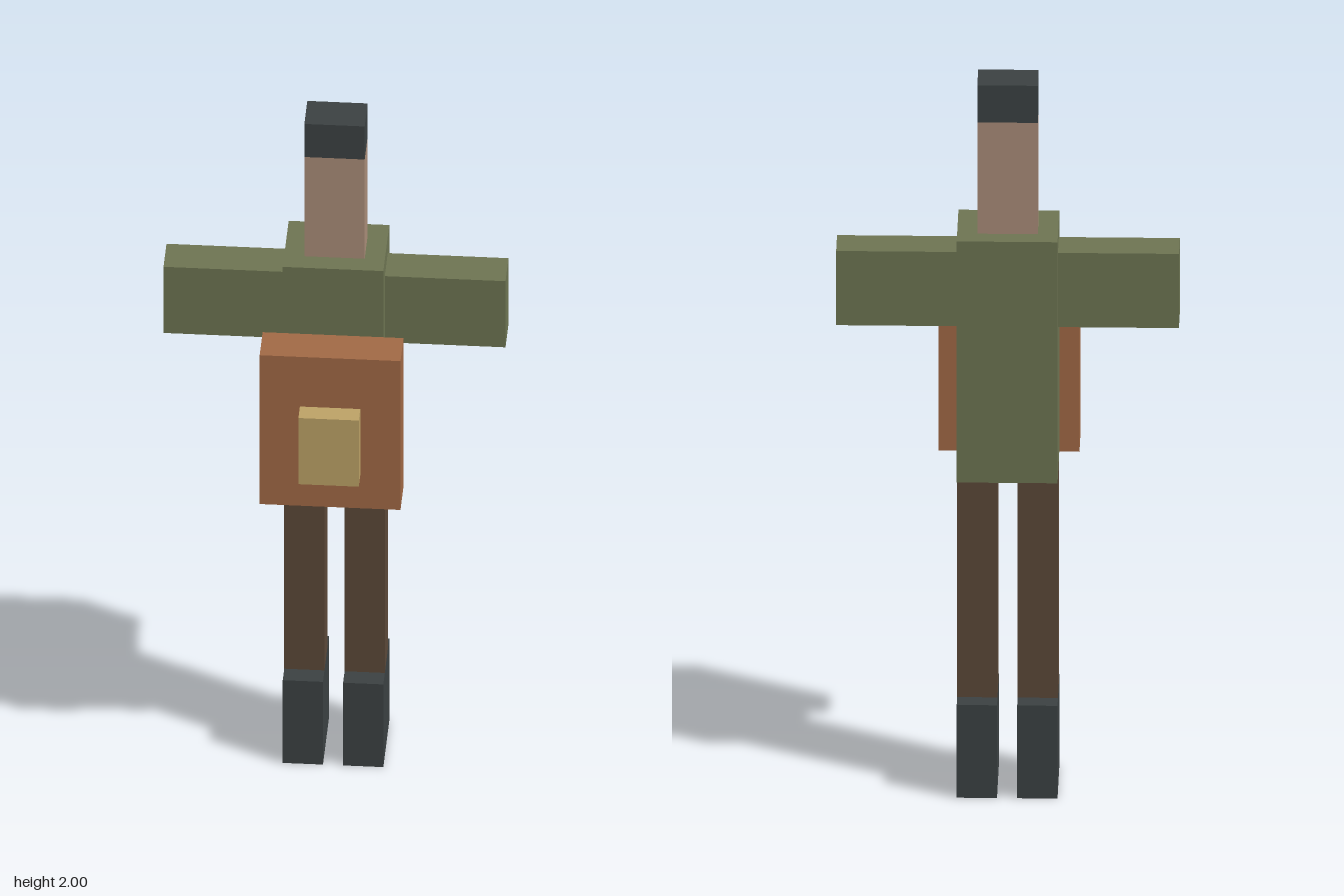
import * as THREE from 'three';

const U = 2 / 38; // one block unit; the figure is 38 units tall

function material(name, color) {
  const m = new THREE.MeshStandardMaterial({ color });
  m.name = name;
  return m;
}

export function createModel() {
  const olive = material('olive cloth', 0x6d7452);
  const rust = material('rust leather', 0xa16945);
  const tan = material('tan leather', 0xbca266);
  const skin = material('skin', 0xa98c78);
  const brown = material('brown cloth', 0x5b4838);
  const dark = material('dark grey', 0x3b4142);

  const model = new THREE.Group();
  model.name = 'blockFigure';

  // Adds a box spanning the given [min, max] ranges in block units
  function block(name, mat, [x0, x1], [y0, y1], [z0, z1]) {
    const geometry = new THREE.BoxGeometry((x1 - x0) * U, (y1 - y0) * U, (z1 - z0) * U);
    const mesh = new THREE.Mesh(geometry, mat);
    mesh.name = name;
    mesh.position.set((x0 + x1) / 2 * U, (y0 + y1) / 2 * U, (z0 + z1) / 2 * U);
    model.add(mesh);
  }

  // Adds a block on the left (+x) and its mirror on the right
  function pair(name, mat, [x0, x1], y, z) {
    block('left' + name, mat, [x0, x1], y, z);
    block('right' + name, mat, [-x1, -x0], y, z);
  }

  // Limbs
  pair('Boot', dark, [0.5, 2.5], [0, 5], [-3.5, 0.5]);
  pair('Leg', brown, [0.5, 2.5], [5, 17], [-2.5, -0.5]);
  pair('Arm', olive, [2.5, 8.5], [25, 29], [-2.5, -0.5]);

  // Body and head
  block('torso', olive, [-2.5, 2.5], [17, 30], [-3.5, 0.5]);
  block('head', skin, [-1.5, 1.5], [30, 36], [-2.5, -0.5]);
  block('hair', dark, [-1.5, 1.5], [36, 38], [-2.5, -0.5]);

  // Pack and its pocket
  block('pack', rust, [-3.5, 3.5], [17, 26], [0.5, 2.5]);
  block('packPocket', tan, [-1.5, 1.5], [19, 23], [2.5, 3.5]);

  return model;
}
